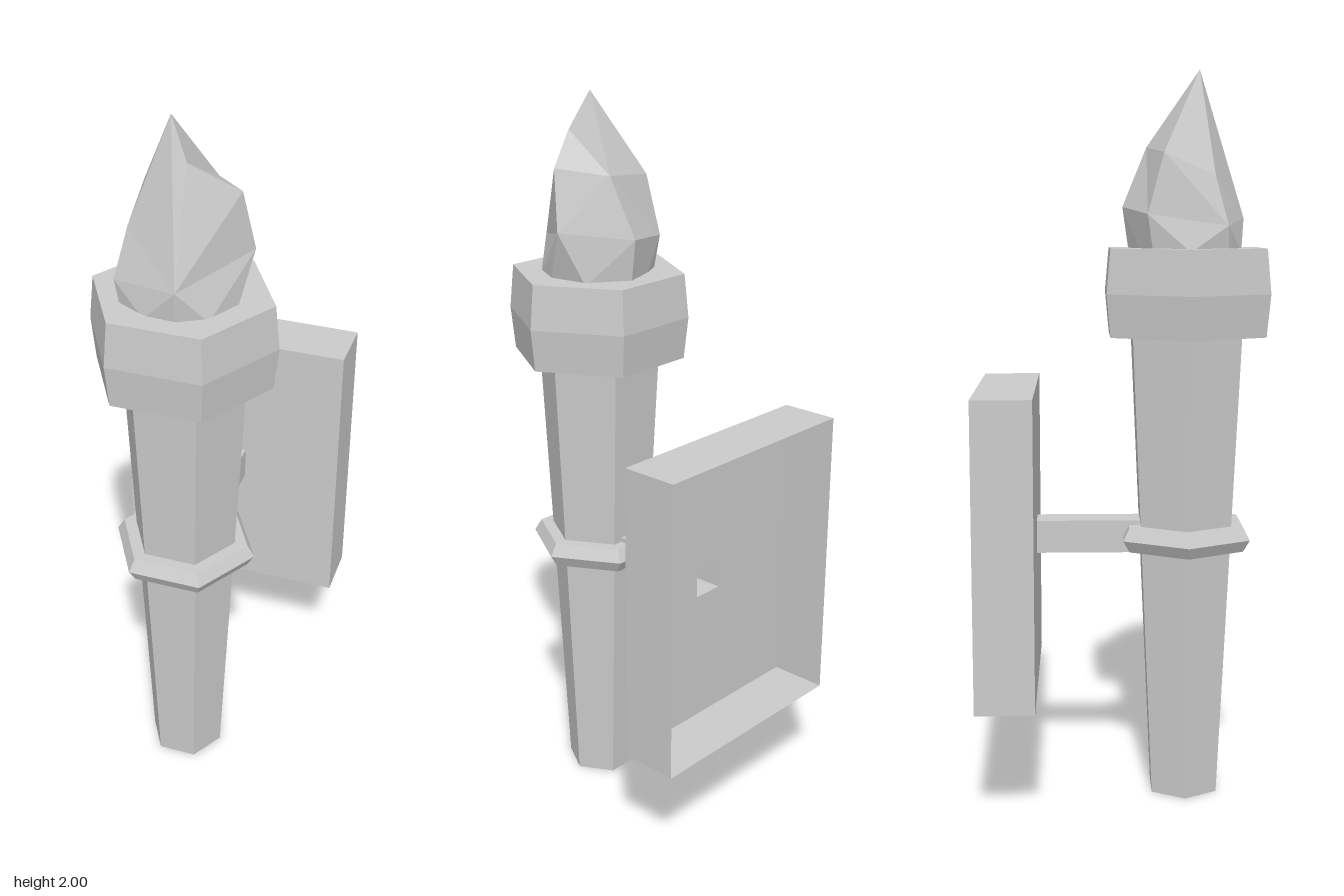
import * as THREE from 'three';

const solid = new THREE.MeshStandardMaterial({ color: 0xcccccc, flatShading: true });
const thin = new THREE.MeshStandardMaterial({ color: 0xcccccc, flatShading: true, side: THREE.DoubleSide });

const TORCH_Z = 0.175;
const PLATE_Z = -0.235;

function add(group, name, geometry, material = solid) {
  const mesh = new THREE.Mesh(geometry, material);
  mesh.name = name;
  group.add(mesh);
  return mesh;
}

// Six-sided turned part with corners on the x axis; profile is [radius, y] from bottom to top
function hexPart(group, name, profile) {
  const points = profile.map(([r, y]) => new THREE.Vector2(r, y));
  const mesh = add(group, name, new THREE.LatheGeometry(points, 6, Math.PI / 6));
  mesh.position.z = TORCH_Z;
}

// Box open at its front and back, leaving four thin walls
function openSleeve(width, height, z0, z1) {
  const box = new THREE.BoxGeometry(width, height, z1 - z0);
  box.setIndex(Array.from(box.index.array).slice(0, 24));
  box.clearGroups();
  return box.translate(0, 0.74, (z0 + z1) / 2);
}

// Faceted flame: an uneven crown of points over a ring that narrows into the cup
function flameGeometry() {
  const P = {
    A: [0.033, 1.64, 0.003], B: [-0.129, 1.62, 0.065], J: [-0.14, 1.59, 0.277],
    I: [0.037, 1.61, 0.335], G: [0.177, 1.66, 0.144],
    C: [0.058, 1.8, 0.069], D: [-0.121, 1.78, 0.108], K: [-0.113, 1.72, 0.244],
    E: [-0.012, 2, 0.208], F: [0.037, 1.9, 0.24], H: [0.152, 1.82, 0.177],
  };
  const base = [
    [0.03, 0.02], [-0.06, 0.05], [-0.12, 0.08], [-0.154, 0.177], [-0.125, 0.28],
    [-0.05, 0.32], [0.035, 0.325], [0.106, 0.285], [0.15, 0.2], [0.13, 0.09],
  ].map(([x, z]) => [x, 1.52, z]);

  const crown = 'EFC FHC ECD CBD CAB EDK EKI KJI EIF DBJ DJK CHG CGA FIH HIG';
  const tris = crown.split(' ').flatMap((t) => [...t].map((k) => P[k]));

  const ring = [P.A, P.B, P.J, P.I, P.G];
  ring.forEach((m, k) => {
    const next = ring[(k + 1) % 5];
    const b0 = base[2 * k], b1 = base[2 * k + 1], b2 = base[(2 * k + 2) % 10];
    tris.push(m, b0, b1, m, b1, next, next, b1, b2);
  });

  const geometry = new THREE.BufferGeometry();
  geometry.setAttribute('position', new THREE.Float32BufferAttribute(tris.flat(), 3));
  geometry.computeVertexNormals();
  return geometry;
}

export function createModel() {
  const group = new THREE.Group();
  group.name = 'wallTorch';

  // Torch
  hexPart(group, 'handle', [[0, 0], [0.105, 0], [0.17, 1.3], [0, 1.3]]);
  hexPart(group, 'collar', [[0, 0.705], [0.18, 0.705], [0.2, 0.738], [0.18, 0.772], [0, 0.772]]);
  hexPart(group, 'cup', [[0, 1.295], [0.24, 1.295], [0.252, 1.41], [0.24, 1.53], [0, 1.53]]);
  add(group, 'flame', flameGeometry());

  // Wall bracket: a hollow arm opening into a hollow plate
  const bracket = new THREE.Group();
  bracket.name = 'wallBracket';
  group.add(bracket);
  add(bracket, 'arm', openSleeve(0.09, 0.09, PLATE_Z, 0.06), thin);
  add(bracket, 'plateSides', openSleeve(0.65, 0.83, -0.395, PLATE_Z), thin);

  const rect = (Type, w, h) => new Type([[-w, -h], [w, -h], [w, h], [-w, h]].map(([x, y]) => new THREE.Vector2(x, y)));
  const face = rect(THREE.Shape, 0.325, 0.415);
  face.holes.push(rect(THREE.Path, 0.045, 0.045));
  add(bracket, 'plateFront', new THREE.ShapeGeometry(face).translate(0, 0.74, PLATE_Z), thin);

  return group;
}
